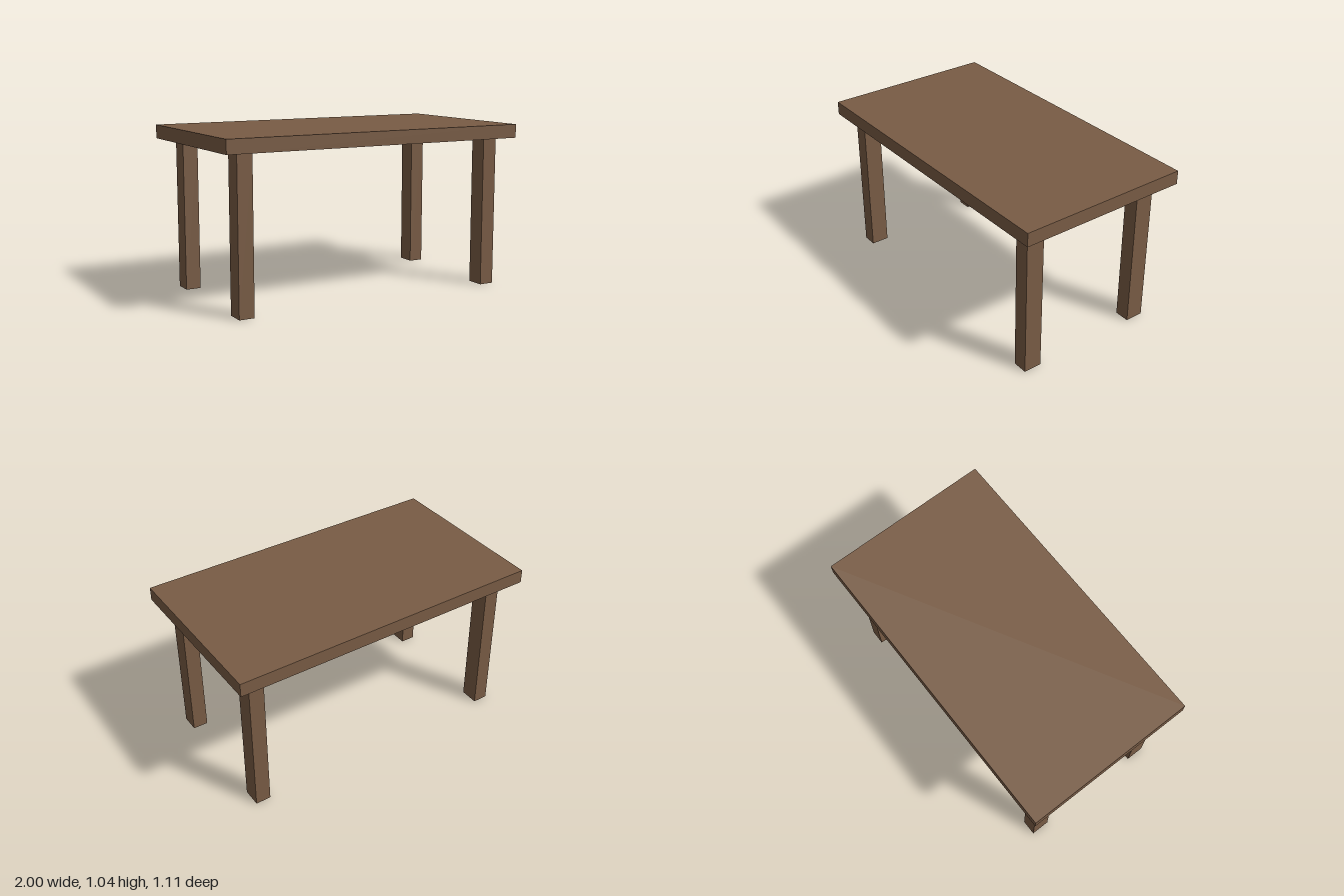
import * as THREE from 'three';

export function createModel() {
  const table = new THREE.Group();
  table.name = 'table';
  const wood = new THREE.MeshStandardMaterial({ color: 0x795c45 });
  wood.name = 'brown wood';

  // Box given by its extents on each axis
  function addBox(name, [x0, x1], [y0, y1], [z0, z1]) {
    const mesh = new THREE.Mesh(new THREE.BoxGeometry(x1 - x0, y1 - y0, z1 - z0), wood);
    mesh.position.set((x0 + x1) / 2, (y0 + y1) / 2, (z0 + z1) / 2);
    mesh.name = name;
    table.add(mesh);
  }

  const legHeight = 0.954;
  addBox('tableTop', [-1, 1], [legHeight, 1.04], [-0.554, 0.554]);

  // Four legs, the pairs set slightly towards the front
  const sides = { Left: [0.806, 0.902], Right: [-0.905, -0.809] };
  const rows = { front: [0.36, 0.476], back: [-0.458, -0.339] };
  for (const [row, z] of Object.entries(rows)) {
    for (const [side, x] of Object.entries(sides)) {
      addBox(`${row}${side}Leg`, x, [0, legHeight], z);
    }
  }
  return table;
}
